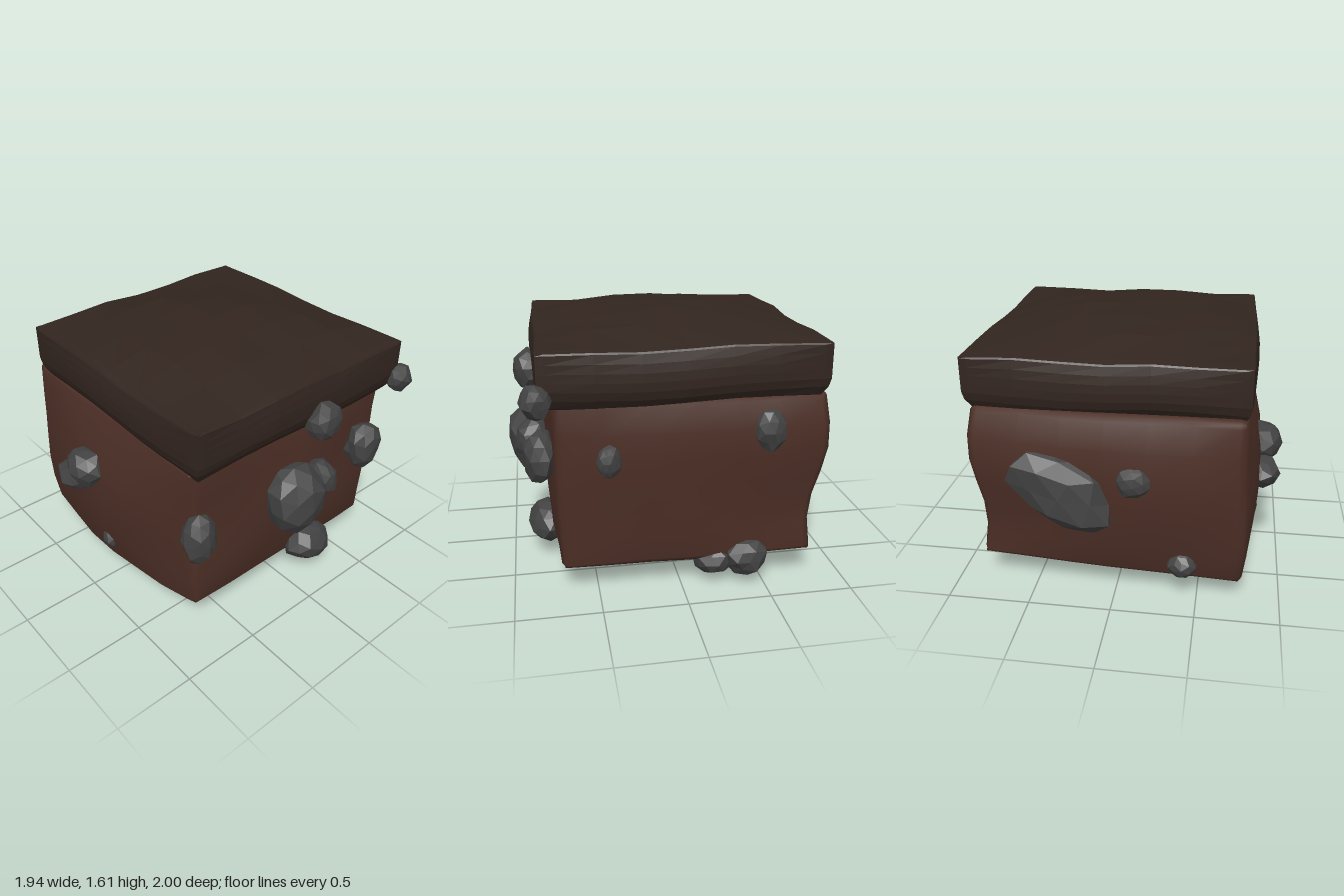
import * as THREE from 'three';
import { mergeVertices } from 'three/addons/utils/BufferGeometryUtils.js';

const mat = (color, flatShading) => new THREE.MeshStandardMaterial({ color, flatShading, roughness: 1 });

// Subdivided cube with a narrow bevel; warp maps unit coordinates (-1..1) to the final shape
function block(bevel, round, warp) {
  let geo = new THREE.BoxGeometry(2, 2, 2, 8, 8, 8);
  geo.deleteAttribute('uv');
  geo.deleteAttribute('normal');
  geo = mergeVertices(geo);
  const pos = geo.attributes.position;
  for (let i = 0; i < pos.count; i++) {
    let p = [pos.getX(i), pos.getY(i), pos.getZ(i)];
    const onEdge = p.filter((t) => Math.abs(t) > 0.99).length > 1;
    p = p.map((t) => (Math.abs(t) > 0.99 ? t * (onEdge ? 1 - round * bevel : 1) : (t * (1 - bevel)) / 0.75));
    pos.setXYZ(i, ...warp(...p));
  }
  geo.computeVertexNormals();
  return geo;
}

const mix = (a, b, t) => THREE.MathUtils.lerp(a, b, (t + 1) / 2);
const dome = (a, b) => Math.max(0, (1 - a * a) * (1 - b * b));

// Soil body corners: signs of x, y, z, then position
const bodyCorners = [
  [-1, -1, 1, -0.71, 0.17, 0.71],
  [1, -1, 1, 0.775, 0.16, 0.71],
  [1, -1, -1, 0.84, 0.19, -0.8],
  [-1, -1, -1, -0.76, 0.13, -0.82],
  [-1, 1, 1, -0.75, 1.2, 0.745],
  [1, 1, 1, 0.82, 1.2, 0.745],
  [1, 1, -1, 0.83, 1.2, -0.845],
  [-1, 1, -1, -0.755, 1.2, -0.88],
];

// Soil body: irregular hull, bulging on all sides and sagging underneath
function warpBody(u, v, w) {
  const p = [0, 0, 0];
  for (const [su, sv, sw, ...corner] of bodyCorners) {
    const weight = ((1 + su * u) * (1 + sv * v) * (1 + sw * w)) / 8;
    corner.forEach((c, i) => (p[i] += c * weight));
  }
  const wave = 0.01 * Math.sin(5 * u + 2 * w) * Math.sin(4 * v + 1) + 0.007 * Math.sin(6 * w - 3 * v);
  const leftRim = Math.max(0, -u) ** 3 * (1 - w * w) * ((1 - v) / 2);
  const backRight = ((1 + u) * (1 - w) / 4) * 0.035 * Math.sin(Math.PI * v);
  const backLeft = ((1 - u) * (1 - w) / 4) * 0.03 * (1 - v * v);
  p[0] += u * (dome(v, w) * (u < 0 ? 0.08 : 0.04) + wave) + backRight - 0.4 * backLeft - 0.06 * leftRim;
  p[2] += w * (dome(u, v) * (w < 0 ? 0.065 : 0.05) + wave) - backRight - backLeft;
  p[1] -= ((1 - v) / 2) * 0.163 * dome(u, w) + 0.06 * leftRim;
  return p;
}

// Crust slab: domed top, slightly wavy sides, undercut lower rim
function warpSlab(u, v, w) {
  const inset = 1 - 0.1 * Math.max(0, -v - 0.5);
  const wave = 0.006 * Math.sin(5 * u + 3 * w);
  const x = mix(-0.775, 0.86, u) + u * (0.025 * dome(v, w) + wave);
  const z = mix(-0.833, 0.81, w) + w * (0.025 * dome(u, v) + wave);
  const top = 1.493 + 0.115 * dome(u, w) + 0.012 * Math.sin(6 * u - 4 * w) * (1 - u * u * w * w);
  const base = 1.167 + 0.015 * Math.sin(4 * u + 3 * w);
  return [x * inset, mix(base, top, v), z * inset];
}

// Faceted stone with uneven corners
function stone(seed) {
  const geo = new THREE.IcosahedronGeometry(1, 1);
  const pos = geo.attributes.position;
  const p = new THREE.Vector3();
  for (let i = 0; i < pos.count; i++) {
    p.fromBufferAttribute(pos, i);
    const k = 1 + 0.11 * Math.sin(3.1 * p.x + 4.3 * p.y + seed * 1.7) * Math.cos(3.7 * p.z - 2 * p.y + seed);
    p.multiplyScalar(k);
    pos.setXYZ(i, p.x, p.y, p.z);
  }
  geo.computeVertexNormals();
  return geo;
}

// Stones as centre x, y, z, radii x, y, z, tilt about z
const stones = {
  frontStone: [
    [-0.03, 0.73, 0.83, 0.2, 0.24, 0.17, 0.1],
    [0.185, 0.8, 0.84, 0.095, 0.12, 0.11, 0.4],
    [0.61, 0.83, 0.81, 0.14, 0.16, 0.1, 0.1],
    [-0.715, 0.745, 0.75, 0.105, 0.165, 0.1, 0],
    [0.15, 1.23, 0.85, 0.13, 0.125, 0.1, -0.3],
    [0.87, 1.24, 0.82, 0.085, 0.1, 0.085, 0.3],
    [0.2, 0.22, 0.77, 0.17, 0.13, 0.13, 0],
  ],
  leftStone: [
    [0.85, 1.0, -0.49, 0.09, 0.135, 0.095, 0],
    [0.84, 0.86, 0.43, 0.045, 0.1, 0.07, 0],
    [0.79, 0.175, -0.39, 0.12, 0.12, 0.135, 0],
    [0.73, 0.145, -0.21, 0.13, 0.1, 0.13, 0],
  ],
  backStone: [
    [0.29, 0.72, -0.87, 0.36, 0.22, 0.14, 0.55],
    [-0.13, 0.82, -0.9, 0.11, 0.1, 0.08, 0.2],
    [-0.41, 0.25, -0.83, 0.09, 0.085, 0.075, 0],
  ],
  rightStone: [
    [-0.86, 0.79, -0.19, 0.12, 0.13, 0.15, 0],
    [-0.85, 0.66, -0.32, 0.12, 0.1, 0.15, 0.2],
    [-0.8, 0.25, -0.06, 0.06, 0.08, 0.07, 0],
  ],
};

export function createModel() {
  const model = new THREE.Group();
  const add = (name, geo, material) => {
    const mesh = new THREE.Mesh(geo, material);
    mesh.name = name;
    model.add(mesh);
    return mesh;
  };

  add('soilBody', block(0.06, 0.35, warpBody), mat(0x4c2f26, false));
  add('crustSlab', block(0.06, 0.1, warpSlab), mat(0x32251f, true));

  const rock = mat(0x424242, true);
  let seed = 1;
  for (const [name, list] of Object.entries(stones)) {
    list.forEach(([x, y, z, rx, ry, rz, tilt], i) => {
      const mesh = add(name + (i + 1), stone(seed++), rock);
      mesh.position.set(x, y, z);
      mesh.scale.set(rx, ry, rz);
      mesh.rotation.z = tilt;
    });
  }
  return model;
}
